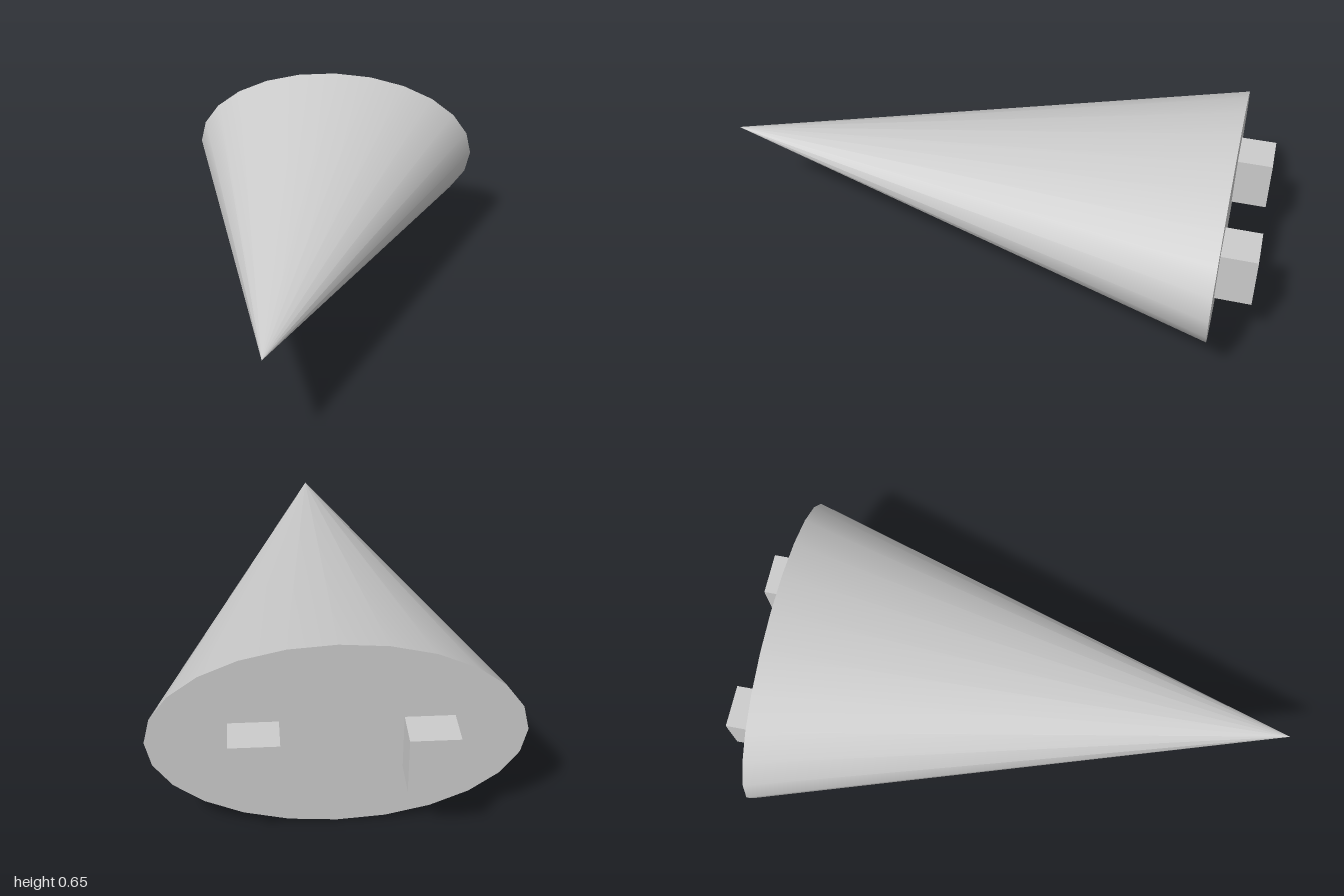
import * as THREE from 'three';

export function createModel() {
  const model = new THREE.Group();
  const material = new THREE.MeshStandardMaterial({ color: 0xcccccc });
  const backZ = -0.875, tipZ = 1, halfHeight = 0.326, halfWidth = 0.586;

  const add = (name, geometry) => {
    const mesh = new THREE.Mesh(geometry, material);
    mesh.name = name;
    model.add(mesh);
    return mesh;
  };

  // Flattened cone hull, pointing forward
  const length = tipZ - backZ;
  const hull = new THREE.ConeGeometry(1, length, 24);
  hull.rotateX(Math.PI / 2);
  hull.scale(halfWidth, halfHeight, 1);
  add('hull', hull).position.set(0, halfHeight, (backZ + tipZ) / 2);

  // Two thruster blocks on the flat back
  const depth = backZ + 1;
  for (const [name, x] of [['rightThruster', -0.28], ['leftThruster', 0.255]]) {
    add(name, new THREE.BoxGeometry(0.155, 0.185, depth)).position.set(x, 0.295, backZ - depth / 2);
  }

  return model;
}
